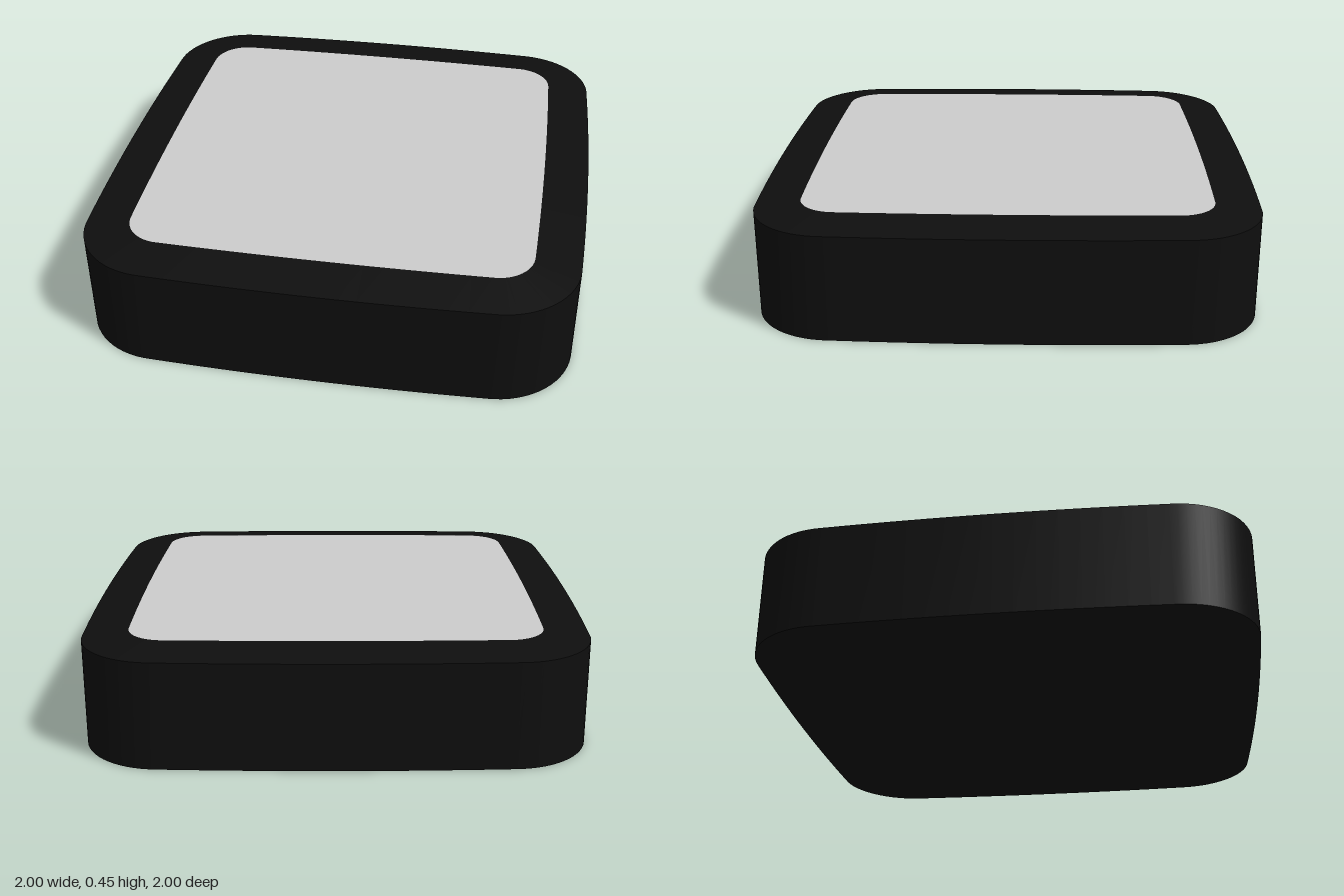
import * as THREE from 'three';
import { toCreasedNormals } from 'three/addons/utils/BufferGeometryUtils.js';

// Rounded square with slightly bowed sides, drawn counter-clockwise
function outline(half, edge, r) {
  const s = edge - r;            // where a side meets its corner
  const bow = 2 * half - edge;   // control point so the side peaks at half
  const k = edge - r * 0.45;     // corner handle
  const shape = new THREE.Shape();
  shape.moveTo(edge, -s);
  for (let i = 0; i < 4; i++) {
    const c = Math.round(Math.cos(i * Math.PI / 2));
    const n = Math.round(Math.sin(i * Math.PI / 2));
    const p = (x, y) => [c * x - n * y, n * x + c * y];
    shape.quadraticCurveTo(...p(bow, 0), ...p(edge, s));
    shape.bezierCurveTo(...p(edge, k), ...p(k, edge), ...p(s, edge));
  }
  return shape;
}

// Skin between stacked outlines, listed from the bottom up
function loft(rings) {
  const loops = rings.map(([shape, y]) => shape.getPoints(16).map((p) => [p.x, y, -p.y]));
  const pos = [], index = [], n = loops[0].length;
  loops.forEach((loop) => loop.forEach((p) => pos.push(...p)));
  for (let r = 0; r < loops.length - 1; r++) {
    for (let i = 0; i < n - 1; i++) {
      const a = r * n + i, b = a + 1, c = b + n, d = a + n;
      index.push(a, b, c, a, c, d);
    }
  }
  const g = new THREE.BufferGeometry();
  g.setAttribute('position', new THREE.Float32BufferAttribute(pos, 3));
  g.setIndex(index);
  return toCreasedNormals(g, Math.PI / 5);
}

export function createModel() {
  const group = new THREE.Group();
  group.name = 'roundedPad';
  const black = new THREE.MeshStandardMaterial({ color: 0x0e0e0e });
  const grey = new THREE.MeshStandardMaterial({ color: 0xcccccc });
  const add = (name, geometry, material) => {
    const mesh = new THREE.Mesh(geometry, material);
    mesh.name = name;
    group.add(mesh);
  };

  const outer = outline(1, 0.985, 0.32);
  const inner = outline(0.815, 0.805, 0.15);

  // Upright wall and the shallow sloping rim
  add('casing', loft([[outer, 0], [outer, 0.425], [inner, 0.45]]), black);

  // Flat underside
  add('base', new THREE.ShapeGeometry(outer, 16).rotateX(Math.PI / 2), black);

  // Pale flat top inside the rim
  add('topPanel', new THREE.ShapeGeometry(inner, 16).rotateX(-Math.PI / 2).translate(0, 0.45, 0), grey);

  return group;
}
